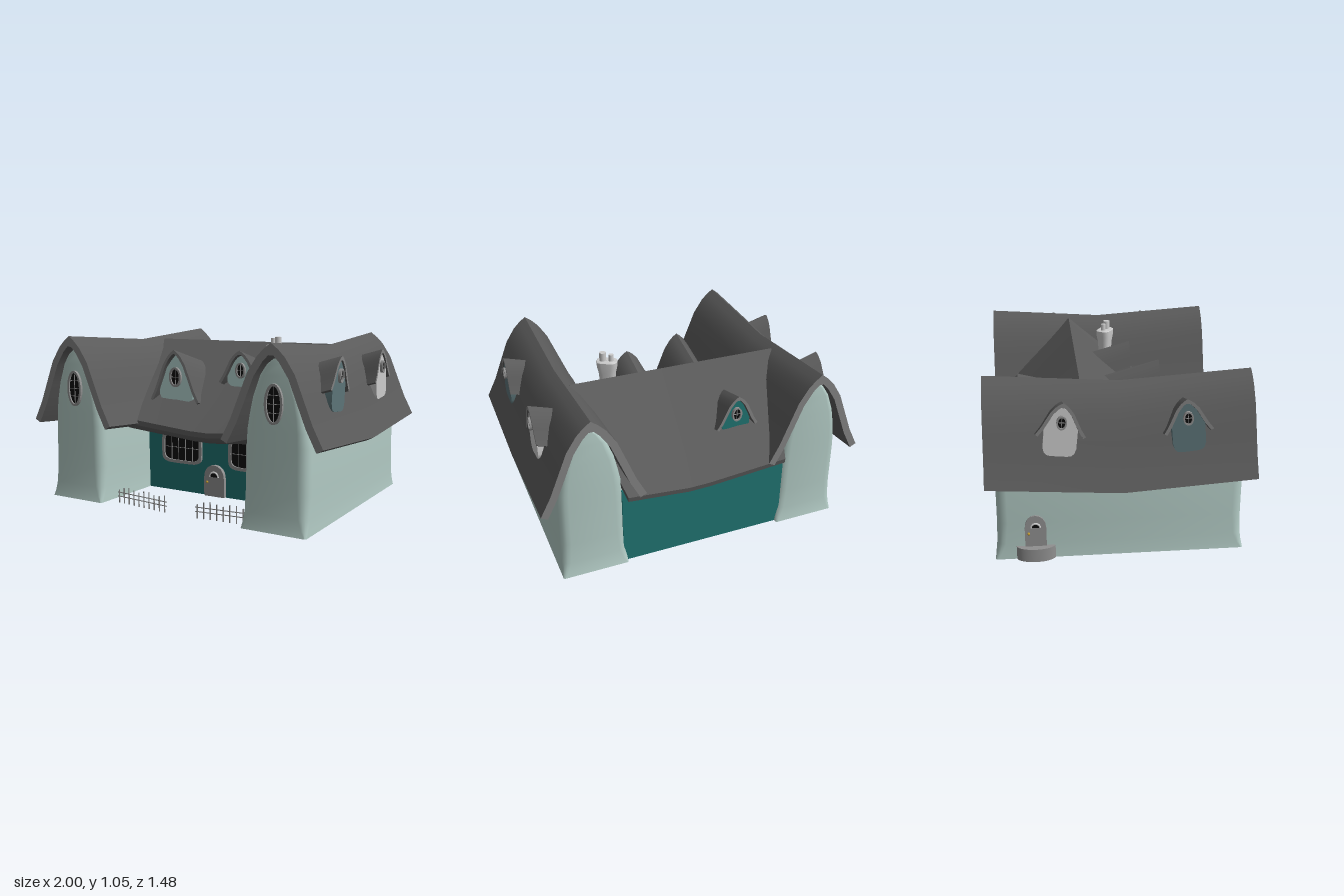
import * as THREE from 'three';
import { toCreasedNormals } from 'three/addons/utils/BufferGeometryUtils.js';

const mat = (color) => new THREE.MeshStandardMaterial({ color, side: THREE.DoubleSide });
const M = {
  roof: mat(0x5a5a5a), trim: mat(0x828282), plaster: mat(0xb0c8c2), teal: mat(0x1f7270),
  slate: mat(0x5c7478), pale: mat(0xb4d4d1), stone: mat(0xcccccc), frame: mat(0x909090),
  glass: mat(0x0a0a0a), brass: mat(0xc09a30),
};

function add(parent, name, geo, material, x = 0, y = 0, z = 0) {
  const m = new THREE.Mesh(geo, material);
  m.name = name;
  m.position.set(x, y, z);
  parent.add(m);
  return m;
}

// Moves every vertex by a rule that changes the vector it is given
function bend(geo, rule) {
  const p = geo.attributes.position, v = new THREE.Vector3();
  for (let i = 0; i < p.count; i++) {
    rule(v.fromBufferAttribute(p, i));
    p.setXYZ(i, v.x, v.y, v.z);
  }
  return toCreasedNormals(geo, 0.6);
}

const extrude = (shape, depth, steps = 1) =>
  new THREE.ExtrudeGeometry(shape, { depth, steps, bevelEnabled: false, curveSegments: 8 });

const polygon = (pts) => new THREE.Shape(pts.map(([x, y]) => new THREE.Vector2(x, y)));

// Pointed, flared roof section with its apex at the origin
function archShape(w, h, t) {
  const rel = [[0, 0], [0.14, 0.06], [0.27, 0.135], [0.46, 0.3], [0.63, 0.54], [0.8, 0.78], [1, 1]];
  const out = rel.map(([x, y]) => [x * w, -y * h]);
  const inner = out.map(([x, y], i) => {
    if (i === 0) return [0, -1.5 * t];
    const a = out[i - 1], b = out[Math.min(i + 1, out.length - 1)];
    const l = Math.hypot(b[0] - a[0], b[1] - a[1]);
    return [x + (b[1] - a[1]) / l * t, y - (b[0] - a[0]) / l * t];
  });
  const flip = (list) => list.slice(1).map(([x, y]) => [-x, y]);
  return polygon([...flip(out).reverse(), ...out, ...inner.slice().reverse(), ...flip(inner)]);
}

// Stacked rounded rectangles: [y, halfWidth, halfDepth, cornerRadius]
function loft(rows) {
  const pos = [], idx = [], n = 20;
  for (const [y, hw, hd, r] of rows) {
    for (let c = 0; c < 4; c++) for (let k = 0; k < 5; k++) {
      const mid = (c + 0.5) * Math.PI / 2, a = (c + k / 4) * Math.PI / 2;
      pos.push(Math.sign(Math.cos(mid)) * (hw - r) + r * Math.cos(a), y,
        Math.sign(Math.sin(mid)) * (hd - r) + r * Math.sin(a));
    }
  }
  for (let i = 0; i < rows.length - 1; i++) for (let j = 0; j < n; j++) {
    const a = i * n + j, b = i * n + (j + 1) % n;
    idx.push(a, a + n, b, b, a + n, b + n);
  }
  const g = new THREE.BufferGeometry();
  g.setAttribute('position', new THREE.Float32BufferAttribute(pos, 3));
  g.setIndex(idx);
  return toCreasedNormals(g, 0.7);
}

// Window facing +z; power 2 gives an oval, higher gives a rounded box
function makeWindow(name, rx, ry, power, border, barsX, barsY) {
  const outline = (a, b) => Array.from({ length: 36 }, (_, i) => {
    const t = i / 36 * Math.PI * 2, c = Math.cos(t), s = Math.sin(t), e = 2 / power;
    return new THREE.Vector2(a * Math.sign(c) * Math.abs(c) ** e, b * Math.sign(s) * Math.abs(s) ** e);
  });
  const g = new THREE.Group();
  g.name = name;
  const ix = rx - border, iy = ry - border;
  const ring = new THREE.Shape(outline(rx, ry));
  ring.holes.push(new THREE.Path(outline(ix, iy)));
  add(g, 'windowFrame', extrude(ring, 0.025), M.frame, 0, 0, -0.01);
  add(g, 'windowGlass', new THREE.ShapeGeometry(new THREE.Shape(outline(ix, iy))), M.glass, 0, 0, 0.005);
  const span = (u) => Math.pow(1 - Math.abs(u) ** power, 1 / power) * 2;
  for (let i = 1; i <= barsX; i++) {
    const u = 2 * i / (barsX + 1) - 1;
    add(g, 'windowBar', new THREE.BoxGeometry(0.003, iy * span(u), 0.004), M.frame, u * ix, 0, 0.007);
  }
  for (let i = 1; i <= barsY; i++) {
    const u = 2 * i / (barsY + 1) - 1;
    add(g, 'windowBar', new THREE.BoxGeometry(ix * span(u), 0.003, 0.004), M.frame, 0, u * iy, 0.007);
  }
  return g;
}

// Dormer with the front of its ridge at the origin, facing +z
function makeDormer(name, { w, h, wallW, wallH, wall, winY, win, depth, slope, inset }) {
  const g = new THREE.Group();
  g.name = name;
  const t = 0.018, fall = (v) => { v.y += slope * v.z; };
  add(g, 'dormerRoof', bend(extrude(archShape(w, h, t), depth).translate(0, 0, -depth), fall), [M.trim, M.roof]);
  const half = [[0.5 * wallW, -wallH], [0.74 * wallW, -wallH * 0.985], [wallW * 0.9, -wallH * 0.94],
    [wallW, -wallH * 0.85], [Math.min(wallW, 0.7 * w), -0.78 * h], [0.57 * w, -0.55 * h],
    [0.4 * w, -0.35 * h], [0.2 * w, -0.2 * h]];
  const mirrored = half.map(([x, y]) => [-x, y]).reverse();
  const shape = polygon([...half, [0, -1.4 * t], ...mirrored]);
  add(g, 'dormerWall', bend(extrude(shape, depth - inset).translate(0, 0, -depth), fall), M[wall]);
  const pane = makeWindow('dormerWindow', win, win * 1.4, 2, win * 0.3, 1, 1);
  pane.position.set(0, -winY, -inset + 0.002);
  g.add(pane);
  return g;
}

function makeDoor(name, w, h) {
  const g = new THREE.Group();
  g.name = name;
  const s = new THREE.Shape();
  s.moveTo(-w, 0);
  s.lineTo(w, 0);
  s.lineTo(w, h * 0.6);
  s.bezierCurveTo(w, h * 1.13, -w, h * 1.13, -w, h * 0.6);
  add(g, 'doorPanel', extrude(s, 0.03), M.frame, 0, 0, -0.01);
  add(g, 'doorRim', new THREE.TorusGeometry(w * 0.42, 0.006, 6, 16, Math.PI), M.stone, 0, h * 0.62, 0.02);
  add(g, 'doorLight', new THREE.CircleGeometry(w * 0.4, 16, 0, Math.PI), M.glass, 0, h * 0.62, 0.022);
  add(g, 'doorKnob', new THREE.SphereGeometry(0.008, 10, 8), M.brass, -w * 0.65, h * 0.45, 0.025);
  return g;
}

export function createModel() {
  const house = new THREE.Group();
  house.name = 'house';
  const place = (o, x, y, z, ry = 0, rz = 0) => {
    o.position.set(x, y, z);
    o.rotation.set(0, ry, rz);
    house.add(o);
  };

  // Two gabled wings with sagging roofs
  const wallRows = [[0.025, 0.2, 0.71, 0.012], [0.06, 0.199, 0.704, 0.03], [0.12, 0.198, 0.698, 0.05],
    [0.25, 0.197, 0.694, 0.06], [0.5, 0.194, 0.692, 0.06], [0.58, 0.187, 0.692, 0.055], [0.66, 0.17, 0.692, 0.045],
    [0.76, 0.147, 0.692, 0.04], [0.88, 0.1, 0.692, 0.03], [0.94, 0.055, 0.692, 0.02], [0.97, 0.01, 0.692, 0.005]];
  for (const s of [-1, 1]) {
    add(house, 'wingWalls', loft(wallRows), M.plaster, s * 0.697);
    const roof = extrude(archShape(0.305, 0.535, 0.043), 1.48, 2).translate(0, 1.055, -0.74);
    add(house, 'wingRoof', bend(roof, (v) => { v.y -= 0.05 * (1 - Math.abs(v.z) / 0.74); }),
      [M.trim, M.roof], s * 0.695);
    place(makeWindow('gableWindow', 0.055, 0.11, 2, 0.014, 1, 3), s * 0.695, 0.73, 0.694);
    for (const front of [1, -1]) {
      const d = makeDormer('sideDormer', { w: 0.135, h: 0.185, wallW: 0.09, wallH: 0.305, inset: 0.01,
        wall: front > 0 ? 'slate' : 'stone', winY: 0.11, win: 0.028, depth: 0.2, slope: 0.3 });
      place(d, s * 0.93, 0.972, front > 0 ? 0.34 : -0.31, s * Math.PI / 2, -s * front * 0.1);
    }
  }

  // Central block: walls and sagging roof between the wings
  add(house, 'frontWall', new THREE.BoxGeometry(1.06, 0.6, 0.02), M.teal, 0, 0.325, 0.19);
  add(house, 'backWall', new THREE.BoxGeometry(1.04, 0.5, 0.02), M.teal, 0, 0.275, -0.675);
  const section = polygon([[-0.74, 0.53], [-0.21, 1.0], [0.46, 0.53], [0.462, 0.5], [0.445, 0.475],
    [0.41, 0.46], [-0.21, 0.94], [-0.7, 0.515], [-0.735, 0.5]]);
  const mainRoof = extrude(section, 1, 8).translate(0, 0, -0.5).rotateY(-Math.PI / 2);
  add(house, 'mainRoof', bend(mainRoof, (v) => {
    v.x *= 1 + 0.32 * Math.max(0, (v.y - 0.53) / 0.47);
    v.y -= 0.05 * Math.max(0, 1 - Math.abs(v.x - 0.08) / 0.6) * Math.min(1, (1 - v.y) / 0.47);
  }), M.roof);

  // Dormers on the main roof
  place(makeDormer('largeDormer', { w: 0.185, h: 0.325, wallW: 0.13, wallH: 0.325, wall: 'pale', inset: 0.025,
    winY: 0.175, win: 0.045, depth: 0.5, slope: 0.28 }), -0.225, 0.963, 0.3);
  place(makeDormer('smallDormer', { w: 0.148, h: 0.2, wallW: 0.1, wallH: 0.22, wall: 'pale', inset: 0.025,
    winY: 0.125, win: 0.035, depth: 0.4, slope: 0.28 }), 0.175, 0.963, 0.165);
  place(makeDormer('backDormer', { w: 0.135, h: 0.2, wallW: 0.09, wallH: 0.235, wall: 'teal', inset: 0.025,
    winY: 0.125, win: 0.032, depth: 0.38, slope: 0.25 }), -0.26, 0.91, -0.56, Math.PI);

  // Front windows and doors
  for (const x of [-0.23, 0.28]) place(makeWindow('frontWindow', 0.155, 0.104, 5, 0.02, 4, 1), x, 0.318, 0.202);
  place(makeDoor('frontDoor', 0.074, 0.205), 0.025, 0.027, 0.205);
  place(makeDoor('sideDoor', 0.06, 0.2), -0.884, 0.1, -0.48, -Math.PI / 2);
  add(house, 'sideStep', new THREE.CylinderGeometry(0.11, 0.11, 0.08, 24, 1, false, Math.PI, Math.PI),
    M.frame, -0.89, 0.066, -0.48).scale.x = 0.48;

  // Chimney with two pots
  const chimney = new THREE.Group();
  chimney.name = 'chimney';
  add(chimney, 'chimneyStack', loft([[-0.2, 0.035, 0.03, 0.025], [-0.13, 0.05, 0.036, 0.03], [-0.08, 0.053, 0.04, 0.033],
    [-0.04, 0.062, 0.045, 0.035], [-0.004, 0.065, 0.046, 0.035], [0, 0.061, 0.042, 0.033],
    [0.001, 0.002, 0.002, 0.001]]), M.stone);
  add(chimney, 'chimneyPot', new THREE.CylinderGeometry(0.015, 0.017, 0.06, 14), M.stone, -0.026, 0.012, 0);
  add(chimney, 'chimneyPot', new THREE.CylinderGeometry(0.021, 0.021, 0.07, 14), M.stone, 0.026, 0.017, 0);
  place(chimney, 0.355, 0.996, 0.022, -0.5);

  // Picket fences
  for (const x of [-0.28, 0.335]) {
    const fence = new THREE.Group();
    fence.name = 'fence';
    for (const y of [0.04, 0.066])
      add(fence, 'fenceRail', new THREE.BoxGeometry(0.41, 0.005, 0.004), M.frame, 0, y, -0.004);
    for (let i = 0; i < 10; i++) {
      const h = 0.085 + 0.022 * Math.abs(Math.sin(i * 2.3));
      add(fence, 'fencePicket', new THREE.BoxGeometry(0.006, h, 0.005), M.frame, -0.19 + 0.38 * i / 9, h / 2, 0);
    }
    place(fence, x, 0, 0.585, -Math.sign(x) * -0.1);
  }
  return house;
}
